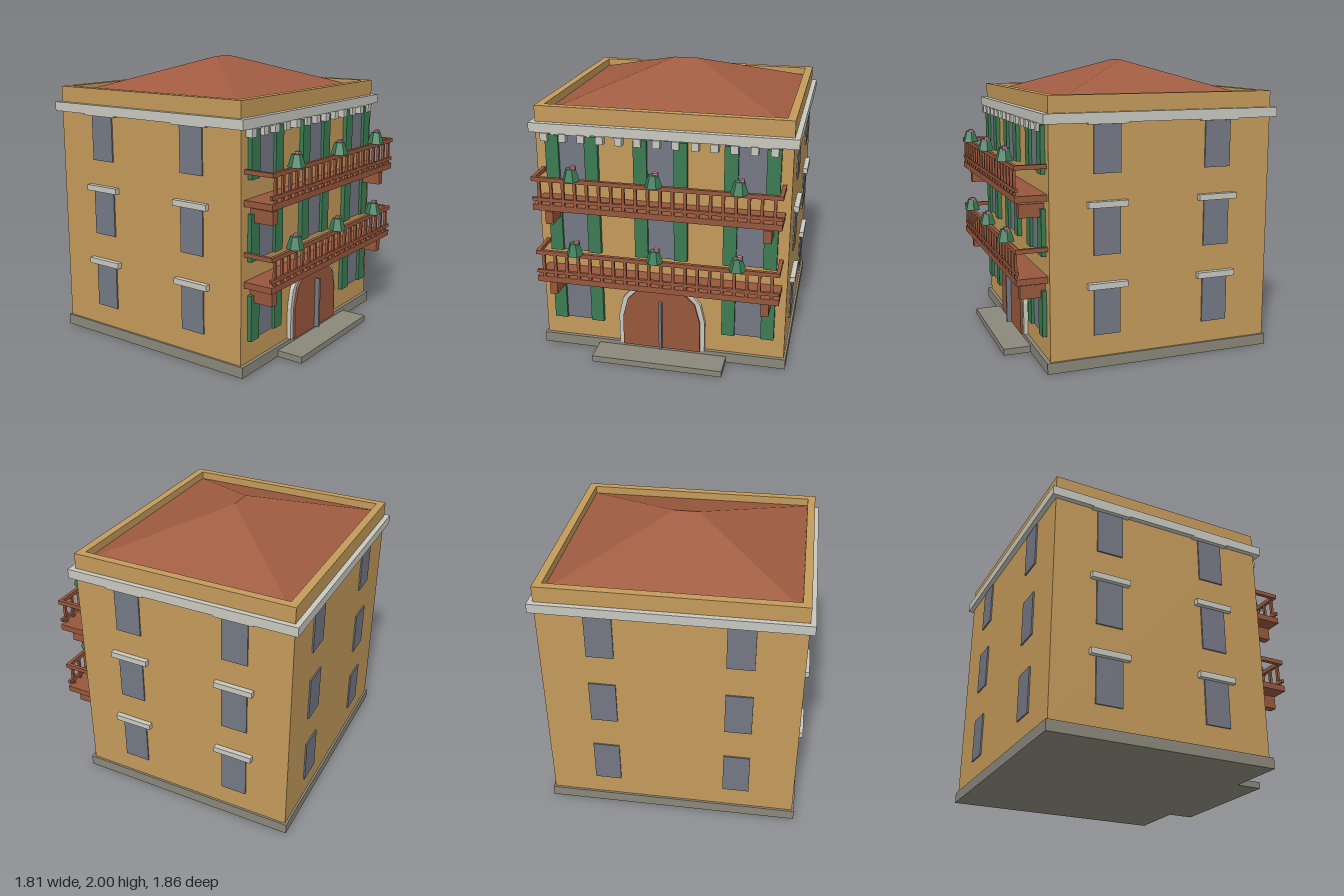
import * as THREE from 'three';

const mat = (name, color, extra = {}) => {
  const m = new THREE.MeshStandardMaterial({ color, ...extra });
  m.name = name;
  return m;
};

export function createModel() {
  const wall = mat('ochre plaster', 0xc49a5a);
  const trim = mat('pale stone', 0xc8c8c0);
  const stone = mat('grey stone', 0x8a877a);
  const wood = mat('brown wood', 0x96573c);
  const tile = mat('roof tile', 0xa05c41);
  const glass = mat('grey glass', 0x747884);
  const green = mat('shutter green', 0x3b7b52);
  const leaf = mat('plant green', 0x387a56, { flatShading: true });
  const pink = mat('flower pink', 0xc87890);

  const model = new THREE.Group();
  model.name = 'house';
  const add = (name, geo, material, parent = model) => {
    const m = new THREE.Mesh(geo, material);
    m.name = name;
    parent.add(m);
    return m;
  };
  // Box given by its min and max along each axis
  const box = (name, material, x0, x1, y0, y1, z0, z1, parent) => {
    const m = add(name, new THREE.BoxGeometry(x1 - x0, y1 - y0, z1 - z0), material, parent);
    m.position.set((x0 + x1) / 2, (y0 + y1) / 2, (z0 + z1) / 2);
    return m;
  };

  const X = 0.87, ZB = -0.895, ZF = 0.675, ZC = -0.11;
  const floors = [0.225, 0.765, 1.3];

  // Base, body, cornice and parapet
  box('plinth', stone, -0.885, 0.885, 0, 0.075, -0.91, 0.7);
  box('doorStep', stone, -0.465, 0.465, 0, 0.045, 0.69, 0.89);
  box('walls', wall, -X, X, 0.07, 1.745, ZB, ZF);
  box('cornice', trim, -0.905, 0.905, 1.625, 1.69, -0.93, 0.715);
  box('parapetFront', wall, -X, X, 1.69, 1.8, 0.62, ZF);
  box('parapetBack', wall, -X, X, 1.69, 1.8, ZB, -0.84);
  for (const s of [-1, 1]) {
    box('parapetSide', wall, s * 0.8425 - 0.0275, s * 0.8425 + 0.0275, 1.69, 1.8, -0.84, 0.62);
  }

  // Hipped roof: a box whose top is drawn in to a short ridge
  const roof = new THREE.BoxGeometry(1.63, 0.255, 1.46).toNonIndexed();
  const p = roof.attributes.position;
  for (let i = 0; i < p.count; i++) {
    if (p.getY(i) > 0) p.setXYZ(i, Math.sign(p.getX(i)) * 0.085, p.getY(i), 0);
  }
  roof.computeVertexNormals();
  add('roof', roof, tile).position.set(0, 1.8725, ZC);

  // Dentils under the front cornice
  for (let i = 0; i < 13; i++) {
    const x = -0.795 + i * 0.129;
    box('dentil', trim, x - 0.025, x + 0.025, 1.57, 1.625, ZF, 0.725);
  }

  // Window facing +z at its own origin, sill at y = 0
  const makeWindow = (shutters, lintel) => {
    const g = new THREE.Group();
    g.name = 'window';
    box('pane', glass, -0.0925, 0.0925, 0, 0.313, -0.01, 0.01, g);
    if (shutters) {
      for (const s of [-1, 1]) {
        box('shutter', green, s * 0.1375 - 0.046, s * 0.1375 + 0.046, 0, 0.313, -0.01, 0.03, g);
      }
    }
    if (lintel) box('lintel', trim, -0.1375, 0.1375, 0.316, 0.357, -0.01, 0.035, g);
    return g;
  };
  const place = (w, x, y, z, turn = 0) => {
    w.position.set(x, y, z);
    w.rotation.y = turn;
    model.add(w);
  };
  floors.forEach((y, f) => {
    for (const s of [-1, 1]) {
      place(makeWindow(true, true), s * 0.612, y, ZF);
      place(makeWindow(false, false), s * 0.46, y, ZB, Math.PI);
      for (const z of [0.285, -0.5]) place(makeWindow(false, true), s * X, y, z, s * Math.PI / 2);
    }
    if (f > 0) place(makeWindow(true, false), 0, y, ZF);
  });

  // Arched door with stone surround
  const arch = (r, segments, depth) => {
    const pts = [new THREE.Vector2(-r, 0.07), new THREE.Vector2(r, 0.07)];
    for (let i = 0; i <= segments; i++) {
      const a = (i / segments) * Math.PI;
      pts.push(new THREE.Vector2(r * Math.cos(a), 0.3 + r * Math.sin(a)));
    }
    return new THREE.ExtrudeGeometry(new THREE.Shape(pts), { depth, bevelEnabled: false });
  };
  add('doorSurround', arch(0.31, 7, 0.03), trim).position.z = ZF;
  add('door', arch(0.278, 6, 0.045), wood).position.z = ZF;
  box('doorBar', glass, -0.01, 0.01, 0.075, 0.445, 0.71, 0.755);

  // Balconies
  for (const y of [0.6, 1.135]) {
    const b = new THREE.Group();
    b.name = 'balcony';
    b.position.y = y;
    model.add(b);
    box('slab', wood, -0.835, 0.835, 0, 0.042, ZF, 0.885, b);
    box('topRail', wood, -0.835, 0.835, 0.207, 0.236, 0.863, 0.887, b);
    box('lowerRail', wood, -0.835, 0.835, 0.067, 0.09, 0.865, 0.885, b);
    for (const s of [-1, 1]) {
      box('sideRail', wood, s * 0.8225 - 0.0125, s * 0.8225 + 0.0125, 0.207, 0.236, ZF, 0.863, b);
      box('bracket', wood, s * 0.74 - 0.027, s * 0.74 + 0.027, -0.113, -0.023, ZF, 0.845, b);
    }
    for (let i = 0; i < 20; i++) {
      const x = -0.785 + (i * 1.57) / 19;
      box('baluster', wood, x - 0.01, x + 0.01, 0.042, 0.207, 0.866, 0.884, b);
    }
    // Plants with a small blossom on the rail
    for (const x of [-0.555, 0, 0.555]) {
      const plant = add('plant', new THREE.CylinderGeometry(0.034, 0.06, 0.084, 6), leaf, b);
      plant.position.set(x, 0.273, 0.88);
      plant.rotation.y = Math.PI / 6;
      box('blossom', pink, x, x + 0.032, 0.3, 0.33, 0.865, 0.895, b);
    }
  }
  return model;
}
